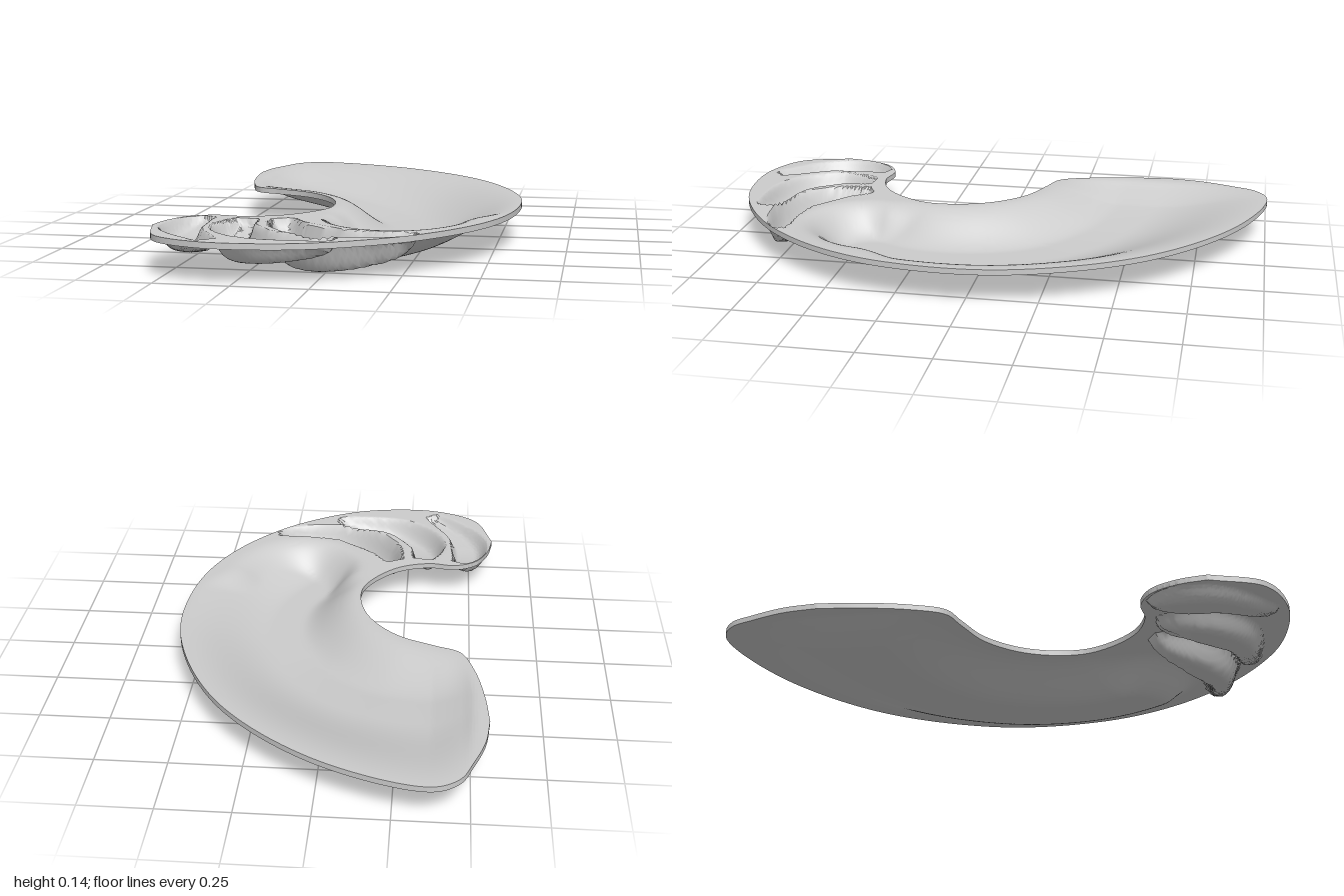
import * as THREE from 'three';
import { toCreasedNormals } from 'three/addons/utils/BufferGeometryUtils.js';

const smooth = (a, b, x) => THREE.MathUtils.smoothstep(x, a, b);
const curve = pts => new THREE.CatmullRomCurve3(pts.map(([x, z]) => new THREE.Vector3(x, 0, z)));

// Plan outline as two edges (x, z) whose points pair up into cross-sections
const inner = curve([[-0.56, -0.62], [-0.545, -0.47], [-0.51, -0.3], [-0.46, -0.185], [-0.37, -0.145],
  [-0.24, -0.085], [-0.14, 0.02], [-0.09, 0.14], [-0.085, 0.27], [-0.14, 0.38], [-0.23, 0.465],
  [-0.34, 0.5], [-0.44, 0.49], [-0.52, 0.53], [-0.57, 0.62], [-0.59, 0.72]]);
const outer = curve([[-0.56, -0.62], [-0.545, -0.74], [-0.505, -0.86], [-0.46, -0.955], [-0.37, -1],
  [0, -0.88], [0.36, -0.57], [0.56, -0.13], [0.56, 0.26], [0.46, 0.54], [0.26, 0.79],
  [0, 0.955], [-0.2, 1], [-0.37, 0.99], [-0.52, 0.91], [-0.59, 0.72]]);
const SECTIONS = 15, RIM_TOP = 0.135, WALL = 0.02;

// Curved scoops: centreline, half width, depth
const scoops = [
  { path: [[-0.46, 0.52], [-0.495, 0.62], [-0.485, 0.75], [-0.34, 0.95]], width: 0.08, depth: 0.055 },
  { path: [[-0.31, 0.54], [-0.325, 0.68], [-0.22, 0.82], [0.05, 0.88]], width: 0.085, depth: 0.08 },
  { path: [[-0.2, 0.52], [-0.13, 0.66], [0.02, 0.76], [0.29, 0.75]], width: 0.08, depth: 0.112 },
].map(s => ({ ...s, pts: curve(s.path).getPoints(60) }));

function scoopDepth({ pts, width, depth }, x, z) {
  let best = Infinity, k = 0;
  pts.forEach((p, i) => {
    const d = Math.hypot(x - p.x, z - p.z);
    if (d < best) { best = d; k = i; }
  });
  const bulge = Math.max(0, Math.sin(Math.PI * k / (pts.length - 1)));
  const a = pts[Math.max(0, k - 1)], b = pts[Math.min(pts.length - 1, k + 1)];
  // The wall on the concave side is the steeper one
  const side = Math.sign((b.z - a.z) * (x - pts[k].x) - (b.x - a.x) * (z - pts[k].z));
  const n = side * best / (width * (0.45 + 0.55 * bulge));
  const m = Math.min(1, Math.abs(n > 0.2 ? (n - 0.2) / 0.8 : (n - 0.2) / 1.2));
  return depth * Math.pow(bulge, 0.45) * smooth(0, 0.85, 1 - m * m);
}

// Main basin: shallow at the broad end, closed by a round wall before the scoops
function basinDepth(s, v, x, z) {
  const along = smooth(1.5, 6.5, s);
  const across = smooth(0.02, 0.34, v) * (1 - smooth(0.5, 0.99, v));
  const q = Math.hypot((x - 0.2) * smooth(0.1, 0.42, z), Math.max(0, z - 0.42));
  return 0.115 * along * across * smooth(0, 0.16, 0.285 - q);
}

function dishGeometry(rows = 270, cols = 60) {
  const pos = [], index = [], ring = 2 * (cols + 1);
  for (let i = 0; i <= rows; i++) {
    const t = i / rows, a = inner.getPoint(t), b = outer.getPoint(t);
    const top = [], bottom = [];
    for (let j = 0; j <= cols; j++) {
      const v = j / cols, p = a.clone().lerp(b, v);
      const cups = Math.max(...scoops.map(s => scoopDepth(s, p.x, p.z)));
      const edge = smooth(0, 0.05, v) * smooth(0, 0.05, 1 - v);
      const d = Math.max(basinDepth(t * SECTIONS, v, p.x, p.z), cups * edge);
      top.push([p.x, RIM_TOP - d, p.z]);
      bottom.unshift([p.x, RIM_TOP - WALL - d, p.z]);
    }
    pos.push(...top.flat(), ...bottom.flat());
  }
  // Join each closed cross-section to the next
  for (let i = 0; i < rows; i++) {
    for (let j = 0; j < ring; j++) {
      const k = (j + 1) % ring;
      const a = i * ring + j, b = a + ring, c = i * ring + k, d = c + ring;
      index.push(a, b, c, b, d, c);
    }
  }
  const g = new THREE.BufferGeometry();
  g.setAttribute('position', new THREE.Float32BufferAttribute(pos, 3));
  g.setIndex(index);
  return toCreasedNormals(g, 0.7);
}

export function createModel() {
  const group = new THREE.Group();
  group.name = 'crescentDish';
  const dish = new THREE.Mesh(dishGeometry(),
    new THREE.MeshStandardMaterial({ color: 0xcccccc, side: THREE.DoubleSide }));
  dish.name = 'dishWithScoops';
  group.add(dish);
  return group;
}
